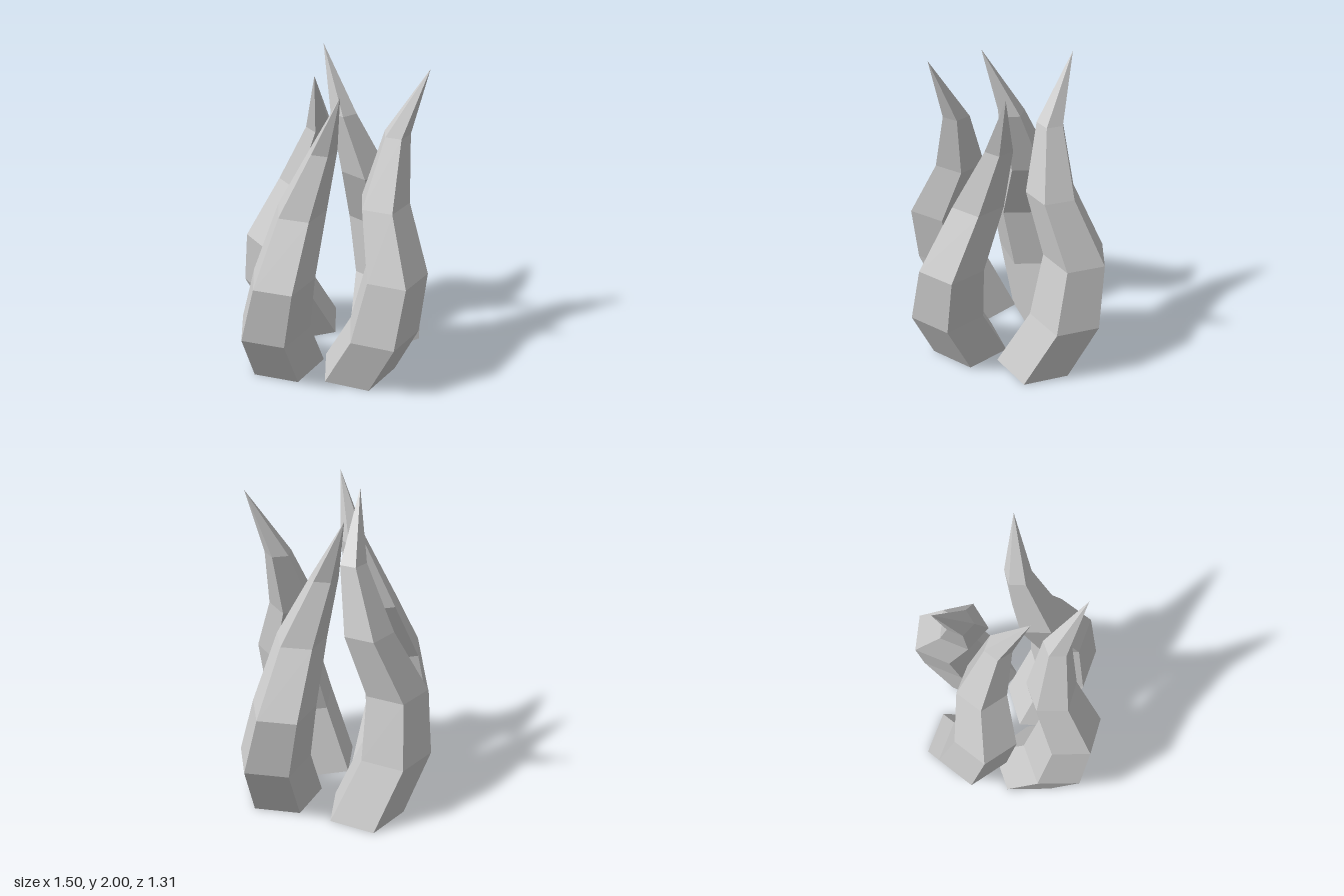
import * as THREE from 'three';

const SIDES = 5;
const STEP = 0.4; // height between rings
const RADII = [0.25, 0.235, 0.205, 0.16, 0.085, 0]; // shared taper, ending in a point

// Each tongue: turn of its pentagon (degrees) and the [x, z] centre of each ring, bottom to tip
const TONGUES = [
  { name: 'frontFlame', turn: 36, path: [[-0.02, 0.23], [0.02, 0.43], [0.10, 0.445], [0.14, 0.27], [0.27, 0.215], [0.44, 0.30]] },
  { name: 'leftFlame', turn: 57, path: [[0.385, 0], [0.52, -0.137], [0.488, -0.222], [0.323, -0.154], [0.203, -0.231], [0.175, -0.41]] },
  { name: 'backFlame', turn: 0, path: [[0.02, -0.415], [-0.175, -0.435], [-0.224, -0.355], [-0.07, -0.27], [-0.045, -0.13], [-0.17, 0]] },
  { name: 'rightFlame', turn: 33, path: [[-0.35, -0.107], [-0.515, 0.012], [-0.497, 0.102], [-0.325, 0.062], [-0.222, 0.155], [-0.23, 0.34]] },
];

// Faceted tapering tongue lofted through horizontal pentagons
function flameGeometry({ turn, path }) {
  const positions = [];
  const triangle = (...corners) => corners.forEach((c) => positions.push(...c));
  const corner = (ring, side) => {
    const a = THREE.MathUtils.degToRad(turn + (side * 360) / SIDES);
    const [x, z] = path[ring];
    return [x + RADII[ring] * Math.cos(a), ring * STEP, z + RADII[ring] * Math.sin(a)];
  };
  const last = path.length - 1;
  for (let s = 0; s < SIDES; s++) {
    // base cap
    triangle([path[0][0], 0, path[0][1]], corner(0, s), corner(0, s + 1));
    // side walls, closing to a point at the tip
    for (let r = 0; r < last; r++) {
      triangle(corner(r, s), corner(r + 1, s), corner(r, s + 1));
      if (r < last - 1) triangle(corner(r + 1, s), corner(r + 1, s + 1), corner(r, s + 1));
    }
  }
  const geometry = new THREE.BufferGeometry();
  geometry.setAttribute('position', new THREE.Float32BufferAttribute(positions, 3));
  geometry.computeVertexNormals();
  return geometry;
}

export function createModel() {
  const group = new THREE.Group();
  group.name = 'flames';
  const material = new THREE.MeshStandardMaterial({ color: 0xcccccc, flatShading: true });
  for (const tongue of TONGUES) {
    const mesh = new THREE.Mesh(flameGeometry(tongue), material);
    mesh.name = tongue.name;
    group.add(mesh);
  }
  return group;
}
